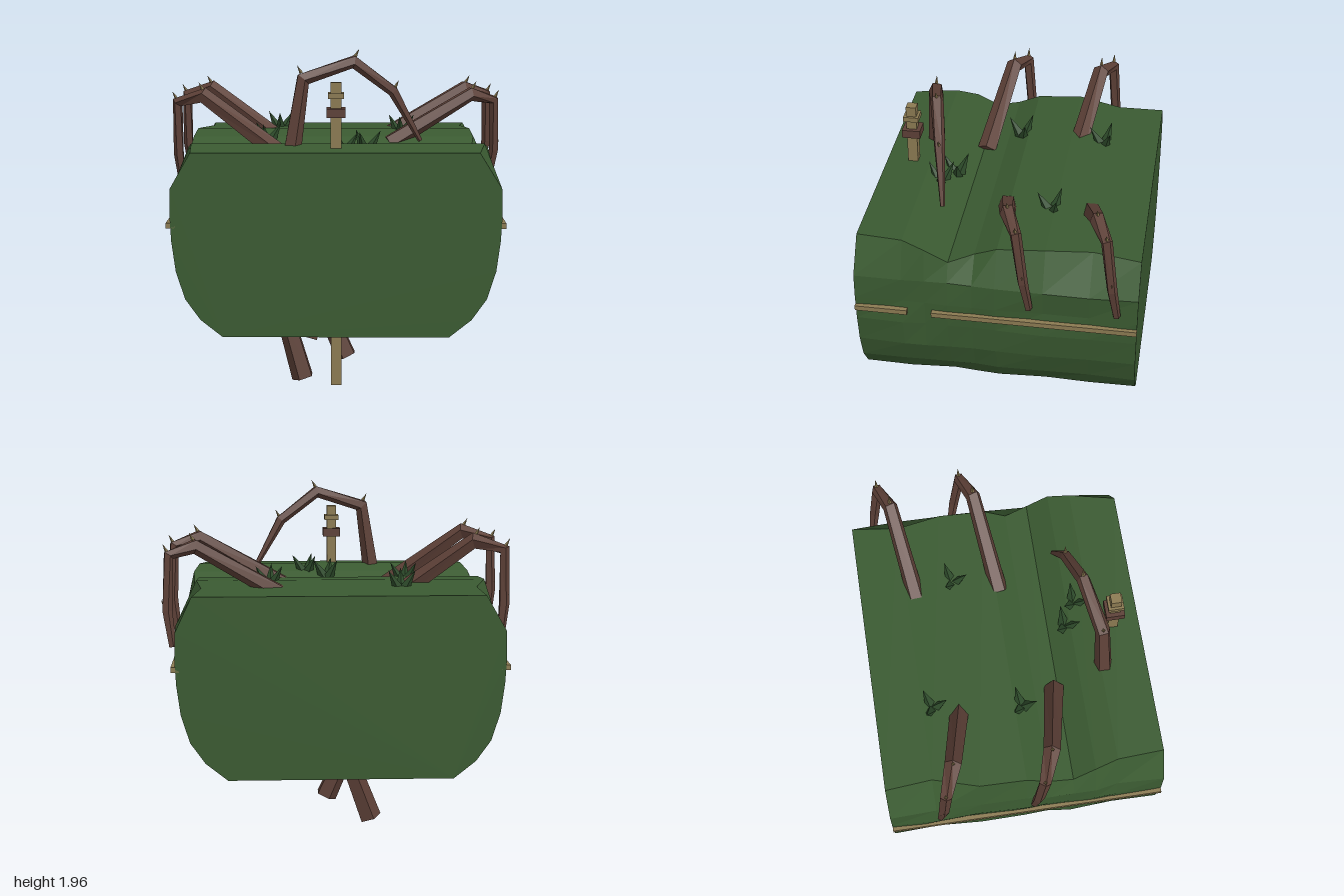
import * as THREE from 'three';

const flat = (name, color) => {
  const m = new THREE.MeshStandardMaterial({ color, flatShading: true });
  m.name = name;
  return m;
};
const V = (x, y, z) => new THREE.Vector3(x, y, z);

// Skin a list of equal-length rings, with both ends capped
function loft(rings) {
  const n = rings[0].length, pos = [];
  const tri = (...pts) => pts.forEach(p => pos.push(p.x, p.y, p.z));
  for (let i = 0; i < rings.length - 1; i++) {
    for (let k = 0; k < n; k++) {
      const a = rings[i][k], b = rings[i][(k + 1) % n];
      const c = rings[i + 1][k], d = rings[i + 1][(k + 1) % n];
      tri(a, b, c);
      tri(b, d, c);
    }
  }
  const first = rings[0], last = rings[rings.length - 1];
  for (let k = 1; k < n - 1; k++) {
    tri(first[0], first[k + 1], first[k]);
    tri(last[0], last[k], last[k + 1]);
  }
  const g = new THREE.BufferGeometry();
  g.setAttribute('position', new THREE.Float32BufferAttribute(pos, 3));
  g.computeVertexNormals();
  return g;
}

// Five-sided tapered limb through a bent path
function limb(points, radii) {
  const p = points.map(a => V(...a));
  return loft(p.map((c, i) => {
    const before = p[Math.max(i - 1, 0)], after = p[Math.min(i + 1, p.length - 1)];
    const t = after.clone().sub(c).normalize().add(c.clone().sub(before).normalize()).normalize();
    const u = t.clone().cross(V(0, 0, 1)).normalize(), v = t.clone().cross(u);
    return Array.from({ length: 5 }, (_, k) => {
      const a = k / 5 * Math.PI * 2;
      return c.clone().addScaledVector(u, radii[i] * Math.cos(a)).addScaledVector(v, radii[i] * Math.sin(a));
    });
  }));
}

export function createModel() {
  const model = new THREE.Group();
  const moss = flat('moss green', 0x3a5a31);
  const leaf = flat('dark leaf green', 0x2d4a2a);
  const bark = flat('root brown', 0x5d4037);
  const wood = flat('pale wood', 0x8b7a52);

  const add = (name, geometry, material, x = 0, y = 0, z = 0) => {
    const m = new THREE.Mesh(geometry, material);
    m.name = name;
    m.position.set(x, y, z);
    model.add(m);
    return m;
  };
  const box = (name, w, h, d, mat, x, y, z) => add(name, new THREE.BoxGeometry(w, h, d), mat, x, y, z);

  let seed = 7;
  const jitter = s => {
    seed = (seed * 16807) % 2147483647;
    return (seed / 2147483647 - 0.5) * 2 * s;
  };

  // Earth block: rounded sides, a furrow across the top
  const side = [[0.64, 0.35], [0.765, 0.45], [0.85, 0.57], [0.9, 0.73], [0.922, 0.9], [0.93, 1.05], [0.925, 1.2]];
  const columns = [ // z, top height, left-hand and right-hand top edge
    [0.8, 1.4, 0.81, 0.8], [0.53, 1.42, 0.83, 0.85], [0.4, 1.385, 0.86, 0.88],
    [0.27, 1.31, 0.88, 0.87], [0.13, 1.34, 0.88, 0.81], [0, 1.4, 0.87, 0.83],
    [-0.27, 1.42, 0.87, 0.83], [-0.53, 1.41, 0.79, 0.79], [-0.8, 1.4, 0.81, 0.83]];
  add('earthBlock', loft(columns.map(([z, top, l, r], i) => {
    const s = i === 0 || i === columns.length - 1 ? 0 : 0.014;
    const wall = sign => side.map(([x, y], k) => V(sign * (x + (k ? jitter(s) : 0)), y, z));
    return [...wall(-1), V(-l, top, z), V(r, top, z), ...wall(1).reverse()];
  })), moss);

  // Thin wooden strips along the sides
  box('leftStrip', 0.05, 0.03, 0.3, wood, 0.927, 0.99, 0.65);
  box('leftStrip', 0.05, 0.03, 1.16, wood, 0.927, 0.99, -0.22);
  box('rightStrip', 0.05, 0.03, 1.6, wood, -0.927, 0.99, 0);

  // Clawed roots, each with small thorns at its joints
  const thorn = (p, lean) => {
    const t = add('thorn', new THREE.ConeGeometry(0.011, 0.05, 4), wood, p[0], p[1], p[2]);
    t.rotation.z = lean;
  };
  const claw = (name, points, radii) => {
    add(name, limb(points, radii), bark);
    points.slice(1, -1).forEach(([x, y, z], i) =>
      thorn([x + Math.sign(x) * 0.02, y + radii[i + 1] + 0.01, z], -Math.sign(x) * 0.5));
  };
  for (const z of [0, -0.49]) {
    claw('leftRoot', [[0.32, 1.36, z + 0.02], [0.82, 1.655, z - 0.06], [0.965, 1.61, z - 0.125],
      [0.975, 1.3, z - 0.165], [0.945, 1.1, z - 0.195]], [0.055, 0.045, 0.033, 0.03, 0.022]);
  }
  for (const z of [0, -0.55]) {
    claw('rightRoot', [[-0.32, 1.31, z + 0.25], [-0.79, 1.66, z + 0.15], [-0.955, 1.615, z + 0.085],
      [-0.955, 1.3, z + 0.06], [-0.935, 1.1, z + 0.04]], [0.06, 0.05, 0.035, 0.032, 0.022]);
  }
  claw('archRoot', [[-0.26, 1.34, 0.55], [-0.19, 1.79, 0.53], [0.1, 1.885, 0.465],
    [0.33, 1.71, 0.41], [0.49, 1.42, 0.37]], [0.055, 0.045, 0.04, 0.033, 0.015]);

  // Root ends hanging below the block
  for (const [x0, x1, z] of [[-0.29, -0.195, 0.48], [-0.09, 0.06, 0], [-0.06, -0.185, -0.47]]) {
    add('lowerRoot', limb([[x0 * 1.1 - x1 * 0.1, 0.4, z - 0.01], [x1, 0.025, z]], [0.055, 0.067]), bark);
  }

  // Stake with two collars
  box('stake', 0.06, 1.75, 0.06, wood, 0, 0.905, 0.64);
  box('upperCollar', 0.09, 0.03, 0.09, wood, 0, 1.705, 0.64);
  box('lowerCollar', 0.108, 0.05, 0.108, bark, 0, 1.61, 0.64);

  // Leaf tufts: three leaning blades each
  const tufts = [[-0.36, 1.4, -0.47], [0.4, 1.4, -0.25], [-0.42, 1.38, 0.04], [0.04, 1.36, 0.37], [0.17, 1.38, 0.44]];
  tufts.forEach(([x, y, z], i) => {
    const tuft = new THREE.Group();
    tuft.name = 'leafTuft';
    tuft.position.set(x, y, z);
    for (const a of [3.6, 5.8, 1.6]) {
      const blade = new THREE.Mesh(new THREE.ConeGeometry(0.036, 0.14, 4), leaf);
      blade.name = 'leafBlade';
      const dir = V(Math.cos(a + i * 0.1) * 0.6, 1, Math.sin(a + i * 0.1) * 0.6).normalize();
      blade.quaternion.setFromUnitVectors(V(0, 1, 0), dir);
      blade.position.set(dir.x * 0.1, 0.045, dir.z * 0.1);
      tuft.add(blade);
    }
    model.add(tuft);
  });

  return model;
}
